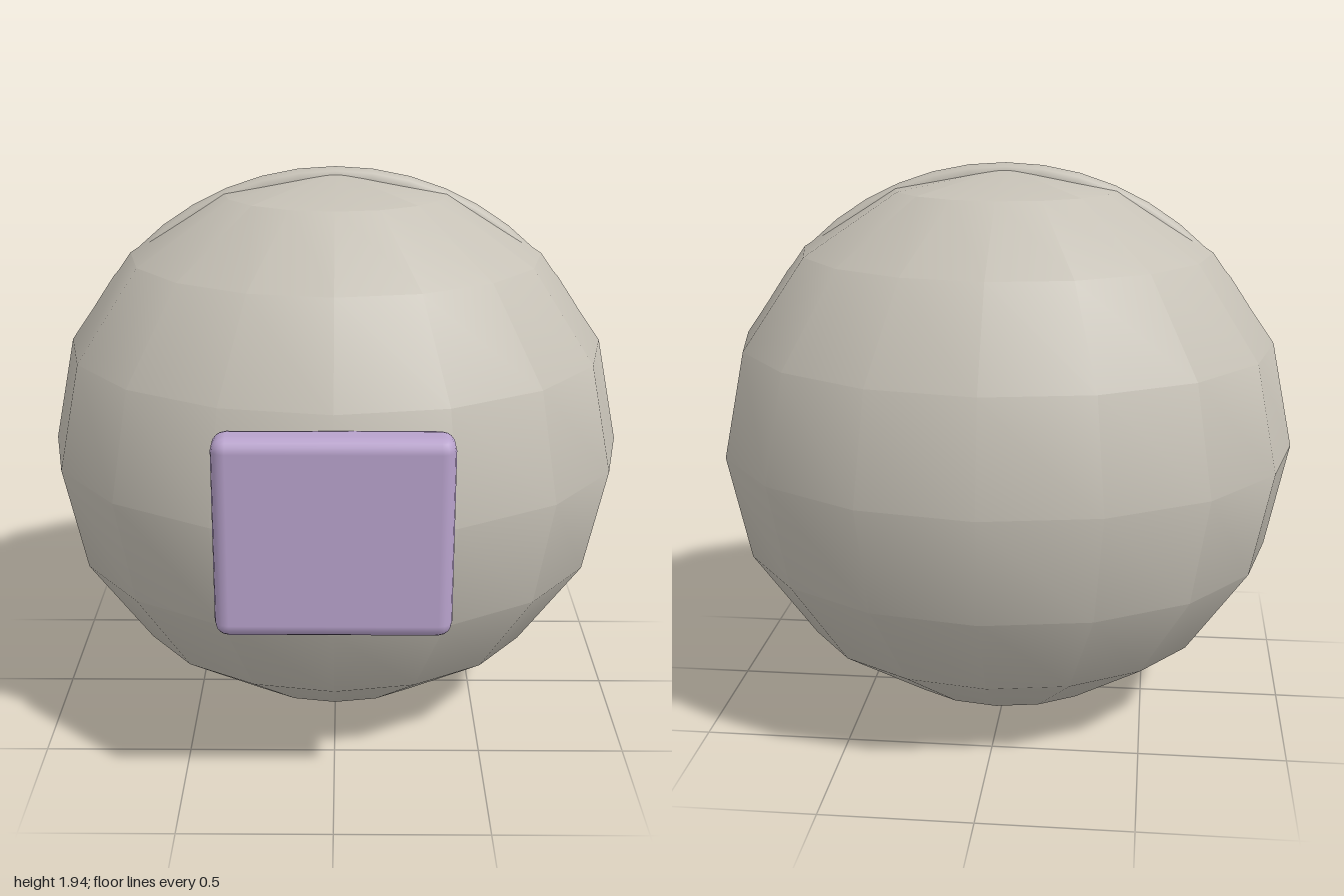
import * as THREE from 'three';
import { toCreasedNormals } from 'three/addons/utils/BufferGeometryUtils.js';
import { RoundedBoxGeometry } from 'three/addons/geometries/RoundedBoxGeometry.js';

const CENTRE = [0, 0.972, -0.024];

export function createModel() {
  const model = new THREE.Group();
  model.name = 'orb';
  const shell = new THREE.MeshStandardMaterial({ name: 'warm grey', color: 0xc6c1b6 });
  const lilac = new THREE.MeshStandardMaterial({ name: 'lilac', color: 0xb8a2cc });

  const add = (name, geometry, material, position) => {
    const mesh = new THREE.Mesh(geometry, material);
    mesh.name = name;
    mesh.position.set(...position);
    model.add(mesh);
  };

  // Slightly flattened low-poly ball, creased only where it curves most
  const ball = new THREE.SphereGeometry(1, 16, 8).scale(1, 0.953, 0.911);
  add('body', toCreasedNormals(ball, 0.4), shell, CENTRE);

  // Thin seam ring, mostly sunk into the ball
  add('seamRing', new THREE.TorusGeometry(0.93, 0.04, 8, 48), shell, CENTRE);

  // Rounded panel on the front
  add('frontPanel', new RoundedBoxGeometry(0.73, 0.645, 0.13, 2, 0.045), lilac, [0, 0.972, 0.865]);

  return model;
}
